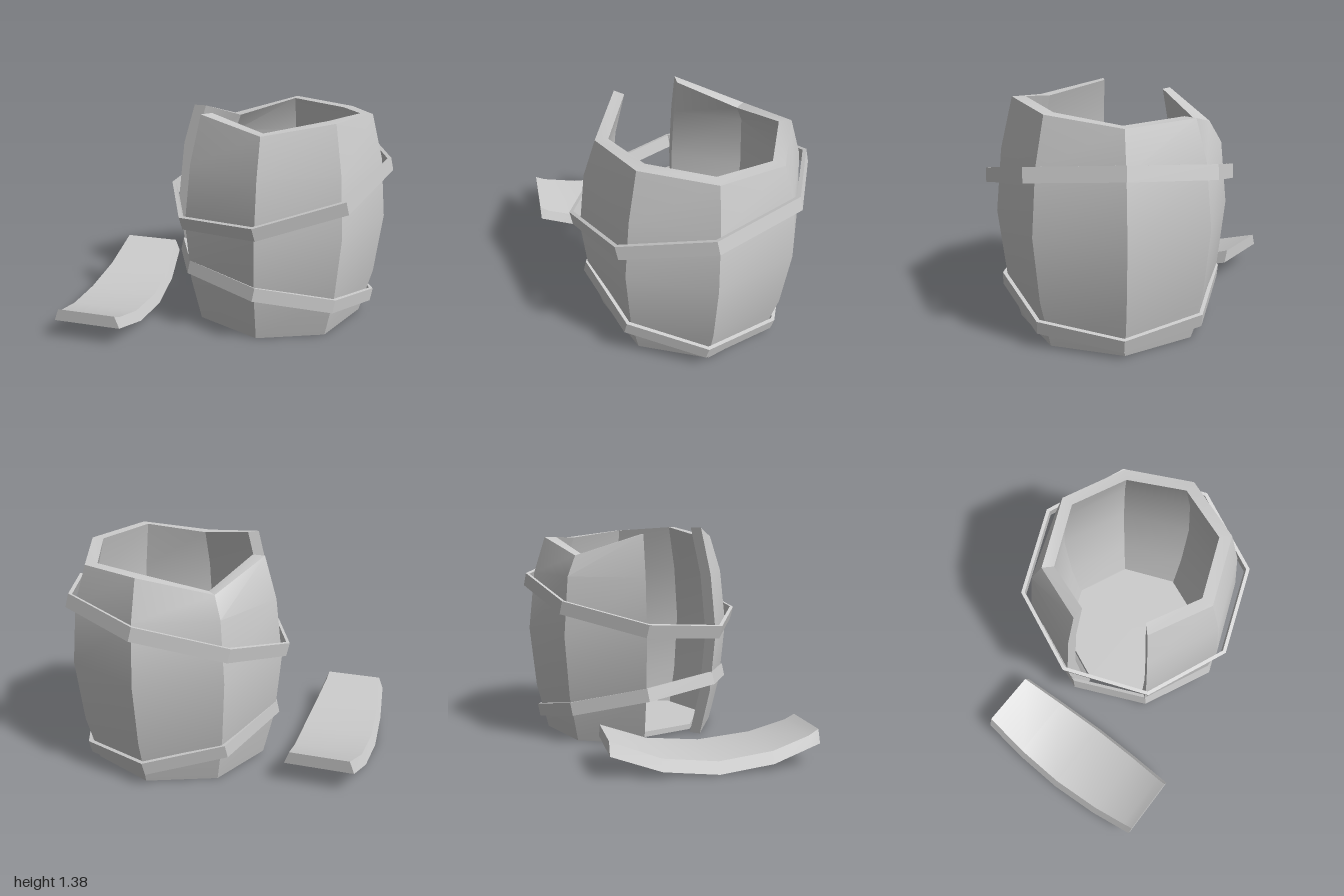
import * as THREE from 'three';
import { toCreasedNormals } from 'three/addons/utils/BufferGeometryUtils.js';

const CX = 0.335, CZ = 0.29;            // barrel axis
const CORNER = 1 / Math.cos(Math.PI / 8); // flat distance to corner distance
const WALL = 0.072;

// Skins a row of cross-section loops (outer points, then inner points backwards).
function loft(sections, closed) {
  const pos = [];
  const n = sections[0].length;
  const quad = (a, b, c, d) => [a, b, c, a, c, d].forEach((p) => pos.push(...p));
  const count = closed ? sections.length : sections.length - 1;
  for (let k = 0; k < count; k++) {
    const s = sections[k], t = sections[(k + 1) % sections.length];
    for (let i = 0; i < n; i++) {
      const j = (i + 1) % n;
      quad(s[i], t[i], t[j], s[j]);
    }
  }
  if (!closed) {
    const s = sections[0], e = sections[sections.length - 1];
    for (let i = 0; i < n / 2 - 1; i++) {
      quad(s[i], s[i + 1], s[n - 2 - i], s[n - 1 - i]);
      quad(e[n - 1 - i], e[n - 2 - i], e[i + 1], e[i]);
    }
  }
  const geo = new THREE.BufferGeometry();
  geo.setAttribute('position', new THREE.Float32BufferAttribute(pos, 3));
  return toCreasedNormals(geo, 0.4);
}

// Point on corner k of the octagon at a given flat distance.
function corner(k, apothem, y) {
  const a = THREE.MathUtils.degToRad(202.5 - 45 * k);
  return [Math.cos(a) * apothem * CORNER, y, Math.sin(a) * apothem * CORNER];
}

export function createModel() {
  const group = new THREE.Group();
  const material = new THREE.MeshStandardMaterial({ color: 0xcccccc });
  const add = (name, geo) => {
    const mesh = new THREE.Mesh(geo, material);
    mesh.name = name;
    group.add(mesh);
    return mesh;
  };

  // Bulging eight-sided wall with an uneven rim and one stave missing
  const rim = [1.385, 1.32, 1.385, 1.36, 1.31, 1.32, 1.21, 1.345];
  const wall = rim.map((top, k) => {
    const profile = [[0.537, 0], [0.607, 0.3], [0.645, 0.7], [0.607, 1.08], [0.537, top]];
    const outer = profile.map(([r, y]) => corner(k, r, y));
    const inner = profile.map(([r, y]) => corner(k, r - WALL, y)).reverse();
    return [...outer, ...inner];
  });
  add('barrelWall', loft(wall, false)).position.set(CX, 0, CZ);

  // Floor board
  const floorRadius = 0.463 * CORNER;
  const floor = new THREE.CylinderGeometry(floorRadius, floorRadius, 0.035, 8, 1, false, Math.PI / 8);
  add('barrelFloor', toCreasedNormals(floor, 0.4)).position.set(CX, 0.038, CZ);

  // Loose hoops, tilted by their slopes along x and z
  function addHoop(name, apothem, x, y, slopeX, slopeZ) {
    const h = 0.043, t = 0.022;
    const ring = rim.map((_, k) => [
      corner(k, apothem, -h), corner(k, apothem, h),
      corner(k, apothem - t, h), corner(k, apothem - t, -h),
    ]);
    const hoop = add(name, loft(ring, true));
    hoop.position.set(x, y, CZ);
    const normal = new THREE.Vector3(-slopeX, 1, -slopeZ).normalize();
    hoop.quaternion.setFromUnitVectors(new THREE.Vector3(0, 1, 0), normal);
  }
  addHoop('upperHoop', 0.69, 0.32, 0.905, 0.25, 0.125);
  addHoop('lowerHoop', 0.625, 0.313, 0.24, -0.223, -0.075);

  // Fallen stave lying on its curved outer face: [along, half width, bottom, top]
  const stave = [
    [-0.623, 0.217, 0.13, 0.21], [-0.56, 0.224, 0.11, 0.175], [-0.33, 0.248, 0.035, 0.105],
    [0, 0.262, 0, 0.07], [0.33, 0.248, 0.035, 0.105], [0.623, 0.217, 0.135, 0.215],
  ];
  const staveSide = (s) => [
    ...stave.map(([x, w, y]) => [x, y, s * w]),
    ...stave.map(([x, w, , y]) => [x, y, s * (w - 0.03)]).reverse(),
  ];
  const fallen = add('fallenStave', loft([staveSide(1), staveSide(-1)], false));
  fallen.position.set(-0.34, 0, -0.53);
  fallen.rotation.y = 0.417;

  return group;
}
